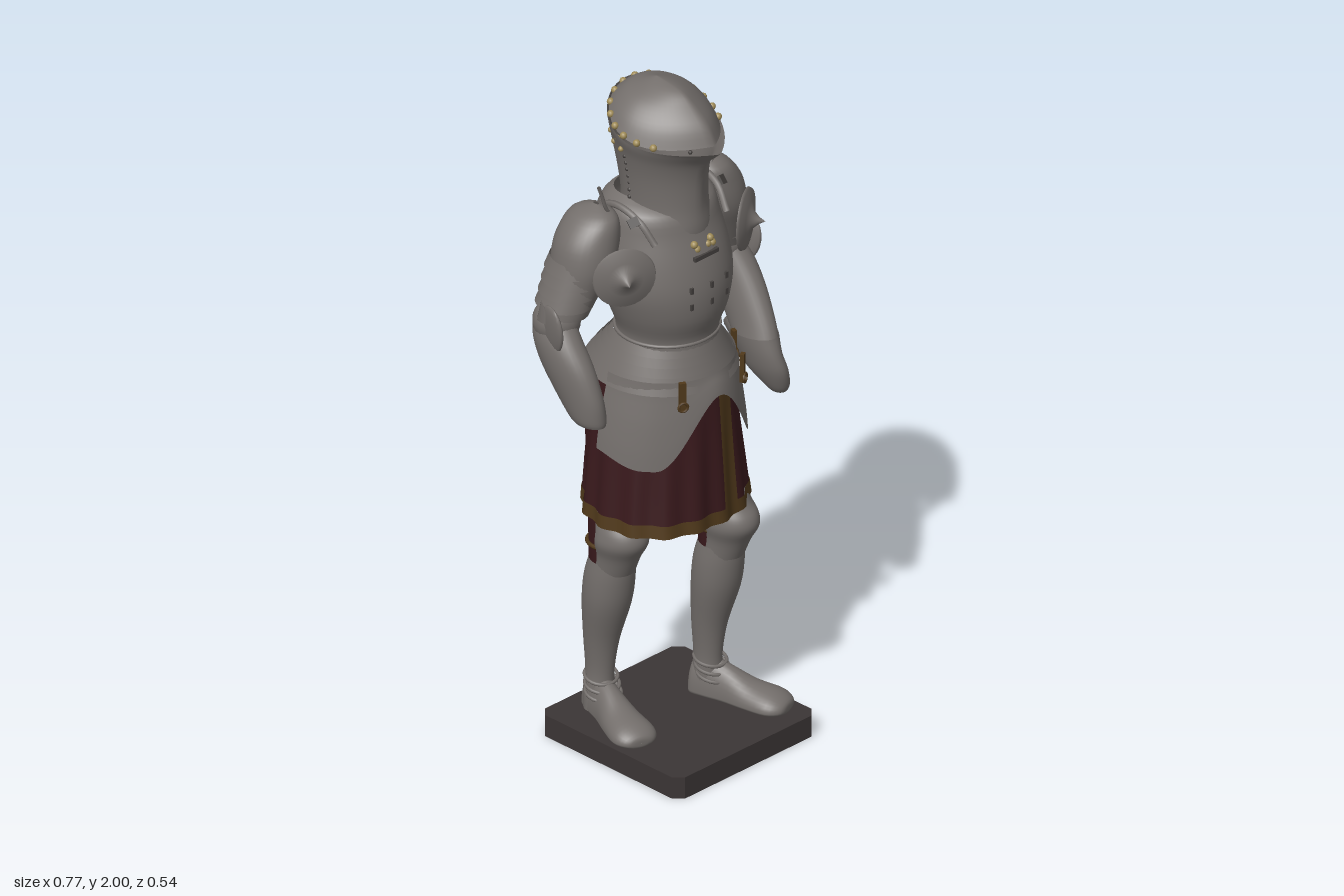
import * as THREE from 'three';

const mat = (name, color) => {
  const m = new THREE.MeshStandardMaterial({ color, side: THREE.DoubleSide });
  m.name = name;
  return m;
};

// Rows run top to bottom: [y, centreX, centreZ, halfWidth, frontDepth, backDepth, frontPoint, backRise]
function loft(rows, { seg = 32, a0 = 0, a1 = Math.PI * 2, sub = 4, warp } = {}) {
  const closed = a1 - a0 > 6.28, cols = closed ? seg : seg + 1;
  const n = (rows.length - 1) * sub, pos = [], idx = [], p = new THREE.Vector3();
  const at = (i, k) => rows[Math.max(0, Math.min(rows.length - 1, i))][k] ?? 0;
  for (let r = 0; r <= n; r++) {
    const i = Math.min(Math.floor(r / sub), rows.length - 2), u = r / sub - i;
    const v = [0, 1, 2, 3, 4, 5, 6, 7].map((k) => {
      const b = at(i, k), c = at(i + 1, k), m0 = (c - at(i - 1, k)) / 2, m1 = (at(i + 2, k) - b) / 2;
      return sub === 1 ? (u ? c : b) : b + m0 * u + (3 * (c - b) - 2 * m0 - m1) * u * u + (2 * (b - c) + m0 + m1) * u ** 3;
    });
    for (let j = 0; j < cols; j++) {
      const a = a0 + (a1 - a0) * j / seg, s = Math.sin(a), c = Math.cos(a);
      const z = c > 0 ? v[4] * (c * (1 - v[6]) + (1 - Math.abs(s)) * v[6]) : v[5] * c;
      p.set(v[1] + v[3] * s, v[0] + v[7] * ((1 - c) / 2) ** 2, v[2] + z);
      if (warp) warp(p, a, r / n);
      pos.push(p.x, p.y, p.z);
    }
  }
  for (let r = 0; r < n; r++) for (let j = 0; j < seg; j++) {
    const a = r * cols + j, b = r * cols + (j + 1) % cols, c = a + cols, d = b + cols;
    idx.push(a, c, d, a, d, b);
  }
  const g = new THREE.BufferGeometry();
  g.setAttribute('position', new THREE.Float32BufferAttribute(pos, 3));
  g.setIndex(idx);
  g.computeVertexNormals();
  return g;
}

export function createModel() {
  const steel = mat('steel', 0x736e6b), cloth = mat('red cloth', 0x39191c), trim = mat('brown trim', 0x50391b);
  const brass = mat('brass', 0xa08c58), dark = mat('dark iron', 0x45413f), wood = mat('dark base', 0x3b3535);
  const root = new THREE.Group();
  const add = (name, geo, m, parent = root, x = 0, y = 0, z = 0) => {
    const mesh = new THREE.Mesh(geo, m);
    mesh.name = name;
    mesh.position.set(x, y, z);
    parent.add(mesh);
    return mesh;
  };
  const group = (name, parent = root) => {
    const g = new THREE.Group();
    g.name = name;
    parent.add(g);
    return g;
  };
  const tube = (pts, r, n = 16) =>
    new THREE.TubeGeometry(new THREE.CatmullRomCurve3(pts.map((q) => new THREE.Vector3(...q))), n, r, 6);
  const ball = (r) => new THREE.SphereGeometry(r, 10, 8);

  // Base with cut corners
  const oct = [[-.232, -.27], [.248, -.27], [.273, -.245], [.273, .237], [.248, .262], [-.232, .262], [-.257, .237], [-.257, -.245]];
  const plate = new THREE.ExtrudeGeometry(new THREE.Shape(oct.map((q) => new THREE.Vector2(...q))), { depth: .065, bevelEnabled: false });
  add('base', plate.rotateX(-Math.PI / 2), wood);

  // Helmet: pointed skull, eye slit at the front, and deep lower half
  const helmet = group('helmet');
  add('skull', loft([[2, 0, -.07, .001, .001, .001, .3], [1.986, 0, -.06, .04, .08, .05, .3], [1.955, 0, -.055, .09, .125, .09, .35, .02],
    [1.91, 0, -.05, .128, .17, .118, .35, .05], [1.858, 0, -.05, .152, .198, .132, .35, .09]],
  { seg: 48, warp: (p, a, t) => { p.y += .01 * t * Math.max(0, Math.cos(a)) ** 3; } }), steel, helmet);
  add('lowerHelmet', loft([[1.853, 0, -.05, .157, .222, .138, .4, .096], [1.838, 0, -.05, .153, .205, .139, .4, .085],
    [1.8, 0, -.05, .137, .168, .137, .3, .05], [1.74, 0, -.05, .122, .147, .118, .2], [1.66, 0, -.05, .115, .142, .108, .1],
    [1.6, 0, -.05, .12, .146, .12], [1.56, 0, -.05, .13, .146, .13]], { seg: 48 }), steel, helmet);
  for (let i = 0; i < 16; i++) {
    const a = .95 + i * (2 * Math.PI - 1.9) / 15, c = Math.cos(a), s = Math.sin(a);
    const z = c > 0 ? .203 * (.65 * c + .35 * (1 - Math.abs(s))) : .127 * c;
    add('rimRivet', ball(.0105), brass, helmet, s * .151, 1.865 + .086 * ((1 - c) / 2) ** 2, z - .05);
  }
  for (const s of [1, -1]) {
    for (let i = 0; i < 4; i++) add('cheekRivet', ball(.008), brass, helmet, s * (.146 - i * .009), 1.836 + (i % 2) * .022, -.06 - i * .022);
    for (let i = 0; i < 8; i++) add('hingeRivet', ball(.006), dark, helmet, s * (.133 - Math.min(i, 4) * .0045), 1.81 - i * .022, -.058);
  }

  // Breastplate and backplate
  const torso = group('torso');
  add('cuirass', loft([[1.675, 0, -.08, .115, .08, .085], [1.645, 0, -.06, .155, .13, .14], [1.58, 0, -.06, .172, .157, .166],
    [1.5, 0, -.05, .185, .175, .179], [1.42, 0, -.04, .188, .18, .172], [1.34, 0, -.03, .166, .165, .159],
    [1.27, 0, -.03, .141, .142, .137], [1.22, 0, -.035, .145, .15, .14]], {
    seg: 48,
    warp: (p, a, t) => {
      if (Math.cos(a) > 0) return;
      const k = 1 + .07 * Math.sin(2 * a) ** 2 * Math.max(0, 1 - 1.6 * t);
      p.x *= k;
      p.z = -.06 + (p.z + .06) * k;
    },
  }), steel, torso);
  add('waistRoll', new THREE.TorusGeometry(.141, .005, 8, 40).rotateX(Math.PI / 2).scale(1.01, 1, 1), steel, torso, 0, 1.258, -.03);
  for (let i = 0; i < 4; i++) {
    const t = i / 3;
    add('waistLame', loft([[1.25 - t * .07, 0, -.04, .142 + t * .042, .15 + t * .035, .135 + t * .06],
      [1.208 - t * .075, 0, -.045, .164 + t * .04, .168 + t * .036, .158 + t * .068]], { seg: 40, sub: 1 }), steel, torso);
  }
  for (const [x, y] of [[-.032, 1.56], [.028, 1.56], [.018, 1.545], [-.022, 1.543], [.036, 1.543]]) add('chestRivet', ball(.011), brass, torso, x, y, .104);
  add('chestBar', new THREE.BoxGeometry(.09, .012, .01), dark, torso, 0, 1.523, .117);
  for (const x of [-.065, 0, .065]) for (const y of [1.44, 1.39]) {
    add('chestStaple', new THREE.BoxGeometry(.01, .018, .01), dark, torso, x, y, -.042 + .18 * Math.sqrt(1 - (x / .19) ** 2));
  }

  // Skirt with pleats, hem and front band
  const skirt = group('skirt');
  const rowAt = (y, o = 0) => {
    const t = (1.14 - y) / .43;
    return [y, 0, -.045, .187 + .043 * t + o, .187 + .02 * t + o, .188 + .017 * t + o];
  };
  const pleat = (p, a) => {
    const square = Math.cos(a) > 0 ? .05 * ((1.14 - p.y) / .43) ** 2 * Math.sin(2 * a) ** 2 : 0;
    const k = 1 + square + .026 * Math.min(1, (1.14 - p.y) / .3) * Math.sin(a * 15 + .6 * Math.sin(a * 2));
    p.x *= k;
    p.z = -.045 + (p.z + .045) * k;
  };
  add('skirtCloth', loft([rowAt(1.14), rowAt(.95), rowAt(.745)], { seg: 120, warp: pleat }), cloth, skirt);
  add('skirtHem', loft([rowAt(.748, .002), rowAt(.71, .002)], { seg: 120, sub: 1, warp: pleat }), trim, skirt);
  add('skirtFrontBand', loft([rowAt(1.13, .003), rowAt(.95, .003), rowAt(.71, .003)], { seg: 12, a0: .1, a1: .38, warp: pleat }), trim, skirt);

  // Thigh plates hanging from the waist, arched at the centre
  const smooth = THREE.MathUtils.smoothstep;
  add('thighPlates', loft([[1.17, 0, -.045, .195, .195, .195], [1.05, 0, -.045, .22, .207, .207], [.92, 0, -.045, .238, .215, .215]], {
    seg: 60, a0: -1.65, a1: 1.65,
    warp: (p, a, t) => {
      const b = Math.abs(a);
      p.y = 1.17 - t * (.06 + .195 * smooth(b, 0, .82) - .035 * smooth(b, 1, 1.65));
    },
  }), steel);
  for (const [x, z, turn] of [[.11, .135, .5], [-.11, .135, -.5], [.182, .03, 1.15]]) {
    const strap = group('strap');
    strap.position.set(x, 1.14, z);
    strap.rotation.y = turn;
    add('strapLeather', new THREE.BoxGeometry(.018, .085, .012), trim, strap, 0, 0, .008);
    add('strapBuckle', new THREE.TorusGeometry(.013, .004, 6, 10), trim, strap, 0, -.03, .015);
  }

  for (const s of [1, -1]) {
    // Shoulder, upper arm and elbow
    const arm = group(s > 0 ? 'leftArm' : 'rightArm');
    arm.scale.x = s;
    add('shoulderStrap', tube([[.135, 1.58, .06], [.148, 1.64, .01], [.152, 1.662, -.07], [.148, 1.635, -.14]], .01), steel, arm);
    add('shoulderPin', tube([[.18, 1.64, -.06], [.205, 1.68, -.06], [.215, 1.71, -.06], [.23, 1.75, -.06]], .005), steel, arm);
    add('shoulderBuckle', new THREE.BoxGeometry(.03, .026, .008), dark, arm, .168, 1.645, .01).rotation.set(-.7, .5, 0);
    add('shoulderPlate', loft([[1.675, .2, -.1, .005, .01, .01], [1.65, .21, -.1, .055, .07, .07], [1.59, .23, -.1, .085, .088, .092],
      [1.52, .25, -.1, .083, .09, .095], [1.45, .27, -.11, .072, .08, .085], [1.37, .295, -.12, .06, .065, .065]]), steel, arm);
    for (let i = 0; i < 4; i++) {
      const y = 1.535 - i * .033, x = .25 + i * .012, r = .081 - i * .003;
      add('armLame', loft([[y, x, -.107 - i * .004, r, r + .006, r + .008],
        [y - .036, x + .01, -.112 - i * .004, r + .003, r + .01, r + .013]], { sub: 1 }), steel, arm);
    }
    const disc = add('armpitDisc', new THREE.LatheGeometry([[.088, 0], [.085, .008], [.05, .016], [.025, .024], [.01, .04], [0, .058]]
      .map((q) => new THREE.Vector2(...q)), 28), steel, arm, .228, 1.51, .035);
    disc.quaternion.setFromUnitVectors(new THREE.Vector3(0, 1, 0), new THREE.Vector3(.5, 0, .866));
    add('elbow', new THREE.SphereGeometry(.066, 20, 14), steel, arm, .312, 1.345, -.138);
    const wing = add('elbowWing', new THREE.SphereGeometry(1, 16, 12).scale(.014, .078, .06), steel, arm, .362, 1.345, -.11);
    wing.rotation.set(.3, .2, -.15);
    add('elbowSpike', new THREE.ConeGeometry(.026, .07, 8).scale(.4, 1, 1), steel, arm, .373, 1.4, -.13).rotation.z = -.15;

    // Forearm; the left one carries a gauntlet, the right ends in an open cuff
    const fore = [[1.37, .315, -.145, .045, .05, .055], [1.31, .325, -.125, .053, .08, .075], [1.24, .325, -.088, .053, .092, .09]];
    if (s > 0) {
      add('forearm', loft([...fore, [1.15, .315, -.03, .047, .085, .088], [1.09, .305, .005, .045, .075, .075]]), steel, arm);
      add('gauntlet', loft([[1.13, .298, -.01, .055, .09, .09], [1.08, .298, .015, .044, .082, .08], [1.03, .31, .03, .042, .078, .075],
        [.98, .325, .055, .032, .045, .05], [.955, .33, .06, .018, .025, .025], [.948, .33, .06, .001, .001, .001]]), steel, arm);
    } else add('forearm', loft([...fore, [1.16, .32, -.045, .047, .08, .083], [1.1, .315, -.018, .042, .06, .063], [1.08, .313, -.01, .034, .05, .052]]), steel, arm);

    // Legs: the left one steps forward
    const leg = group(s > 0 ? 'leftLeg' : 'rightLeg');
    leg.scale.x = s;
    leg.position.z = s > 0 ? 0 : -.14;
    add('hose', loft([[.95, .12, .02, .07, .07, .075], [.75, .135, .035, .062, .05, .072], [.63, .138, .03, .054, .045, .062], [.51, .137, .025, .048, .045, .06]]), cloth, leg);
    add('kneeStrap', new THREE.TorusGeometry(.06, .006, 6, 24).rotateX(Math.PI / 2), trim, leg, .138, .61, .028);
    add('kneePlate', loft([[.75, .137, .045, .062, .065, .05], [.7, .14, .055, .06, .07, .055], [.665, .14, .065, .069, .086, .06],
      [.63, .14, .065, .073, .09, .06], [.585, .139, .055, .061, .075, .045], [.53, .137, .038, .058, .068, .03]], { a0: -2, a1: 2 }), steel, leg);
    add('greave', loft([[.56, .137, .037, .06, .068, .065], [.5, .137, .03, .067, .07, .075], [.42, .137, .022, .065, .064, .077],
      [.3, .135, 0, .046, .048, .06], [.2, .135, -.01, .036, .042, .045], [.13, .137, -.012, .041, .045, .046], [.08, .138, -.01, .042, .045, .045]]), steel, leg);
    const foot = group('foot', leg);
    foot.position.set(.136, .085, -.008);
    foot.rotation.y = .31;
    add('shoe', loft([[.242, 0, 0, .001, .001, .001], [.237, 0, 0, .04, .015, .02], [.2, 0, 0, .064, .02, .04], [.13, 0, 0, .058, .02, .055],
      [.06, 0, 0, .046, .02, .085], [0, 0, 0, .043, .02, .1], [-.045, 0, 0, .034, .02, .08], [-.054, 0, 0, .001, .001, .001]]).rotateX(Math.PI / 2), steel, foot);
    for (let i = 0; i < 3; i++) {
      add('ankleLame', new THREE.TorusGeometry(.045 + i * .002, .005, 6, 24).rotateX(Math.PI / 2 + .2), steel, foot, 0, .095 - i * .022, .004 + i * .006);
    }
  }
  return root;
}
